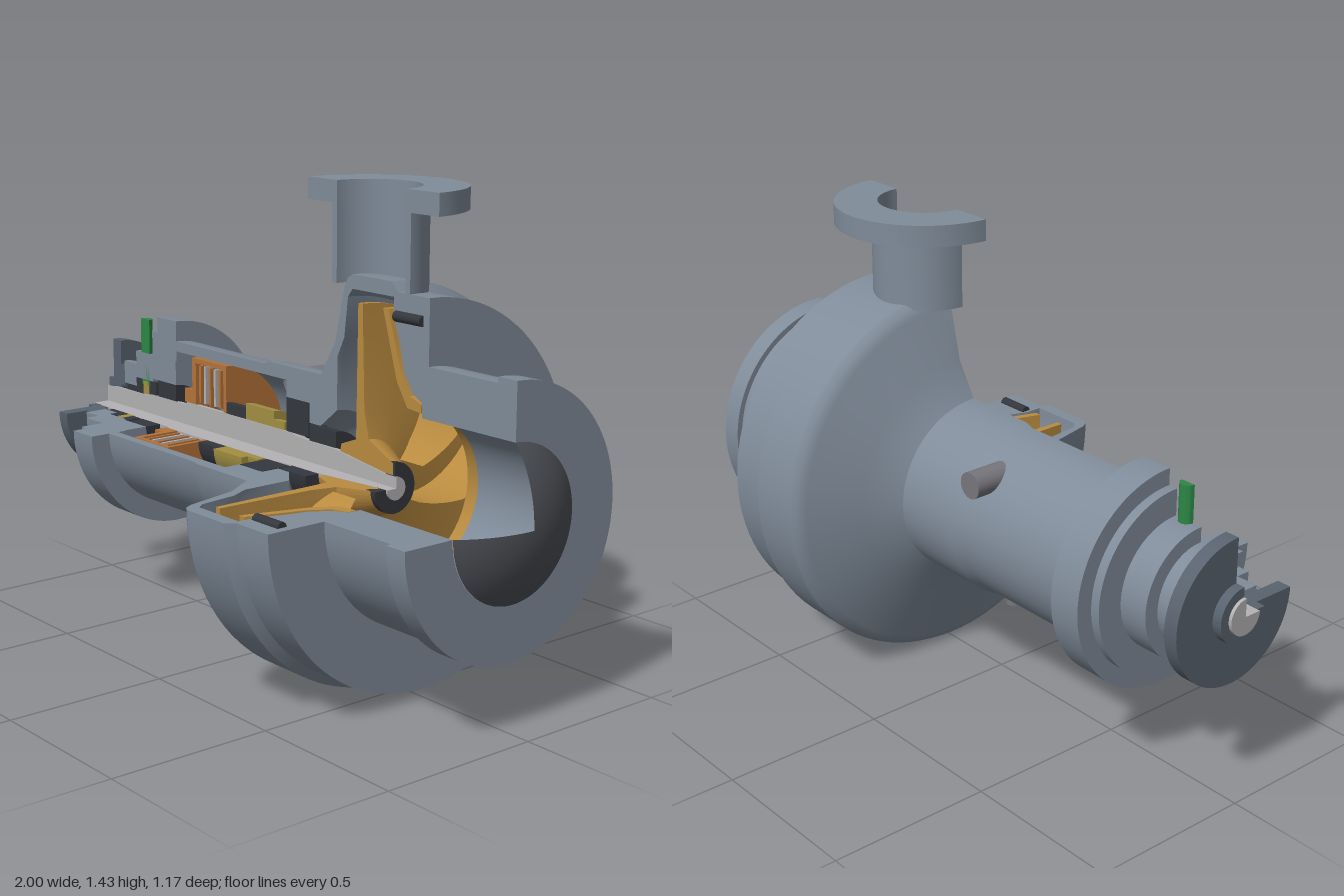
import * as THREE from 'three';
import { mergeGeometries, toCreasedNormals } from 'three/addons/utils/BufferGeometryUtils.js';

const AXIS = 0.587;
const SWEEP = Math.PI * 1.5;

const mat = (color, side = THREE.FrontSide) =>
  new THREE.MeshStandardMaterial({ color, side, roughness: 0.7 });
const M = {
  casing: mat(0x808c9a), slate: mat(0x59636f), steel: mat(0xb4b2b4), dark: mat(0x34373d),
  gold: mat(0xb98b40), vane: mat(0xb98b40, THREE.DoubleSide), bronze: mat(0xb4733a),
  brass: mat(0xa39042), green: mat(0x2c8746), pin: mat(0x77767d),
  dome: mat(0x4d5056, THREE.DoubleSide),
};

// Closed lathe surface; pts are [axial, radius] pairs
function ringSurface(pts, start, length, segments) {
  const p = pts.map(([a, r]) => new THREE.Vector2(r, a));
  if (THREE.ShapeUtils.area(p) < 0) p.reverse();
  p.push(p[0].clone());
  return toCreasedNormals(new THREE.LatheGeometry(p, segments, start, length), 0.5);
}
const face = (pts) =>
  new THREE.ShapeGeometry(new THREE.Shape(pts.map(([x, y]) => new THREE.Vector2(x, y)))).toNonIndexed();

// Three-quarter solid of revolution about the x axis, with both cut faces filled
function cutRing(pts) {
  const body = ringSurface(pts, 0, SWEEP, 72).rotateZ(-Math.PI / 2);
  const upright = face(pts);
  const level = face(pts.map(([a, r]) => [a, -r])).rotateX(-Math.PI / 2);
  return mergeGeometries([body, upright, level]);
}

// Half solid of revolution about the y axis, cut at z = 0
function cutHalf(pts) {
  const body = ringSurface(pts, Math.PI / 2, Math.PI, 40);
  const sides = [1, -1].map((s) => face(pts.map(([a, r]) => [s * r, a])));
  return mergeGeometries([body, ...sides]);
}

const box = (x0, x1, r0, r1) => [[x0, r0], [x1, r0], [x1, r1], [x0, r1]];

// Curved vane between back plate and shroud
function vaneGeometry(angle) {
  const shroud = [[0.13, 0.44], [0.25, 0.5], [0.3, 0.475], [0.36, 0.45], [0.42, 0.43], [0.5, 0.408]];
  const pos = [], idx = [];
  const n = 20;
  for (let i = 0; i <= n; i++) {
    const r = 0.13 + 0.37 * i / n;
    let k = 1;
    while (k < shroud.length - 1 && shroud[k][0] < r) k++;
    const [r0, x0] = shroud[k - 1], [r1, x1] = shroud[k];
    const top = x0 + (x1 - x0) * (r - r0) / (r1 - r0);
    const t = angle + 0.85 * i / n;
    for (const x of [0.31, top]) pos.push(x, r * Math.cos(t), r * Math.sin(t));
    if (i < n) idx.push(2 * i, 2 * i + 1, 2 * i + 2, 2 * i + 1, 2 * i + 3, 2 * i + 2);
  }
  const g = new THREE.BufferGeometry();
  g.setAttribute('position', new THREE.Float32BufferAttribute(pos, 3));
  g.setIndex(idx);
  g.computeVertexNormals();
  return g;
}

export function createModel() {
  const model = new THREE.Group();
  model.name = 'cutawayPump';
  const rotor = new THREE.Group();
  rotor.name = 'axialParts';
  rotor.position.y = AXIS;
  model.add(rotor);
  const add = (name, geometry, material, parent = rotor) => {
    const mesh = new THREE.Mesh(geometry, material);
    mesh.name = name;
    parent.add(mesh);
    return mesh;
  };
  const ring = (name, pts, material) => add(name, cutRing(pts), material);

  // Bearing frame and back half of the volute
  ring('bearingFrameAndVolute', [
    [-0.7, 0.33], [-0.595, 0.33], [-0.595, 0.265], [-0.14, 0.265], [-0.11, 0.275], [0.13, 0.275],
    [0.195, 0.38], [0.235, 0.55], [0.25, 0.575], [0.27, 0.587], [0.435, 0.587], [0.46, 0.56], [0.46, 0.545],
    [0.27, 0.545], [0.25, 0.52], [0.235, 0.4], [0.205, 0.34], [0.205, 0.18], [0.13, 0.12], [0.08, 0.12],
    [0.08, 0.18], [-0.03, 0.18], [-0.03, 0.232], [-0.595, 0.232], [-0.595, 0.2], [-0.7, 0.2]], M.casing);
  // Front cover with suction nozzle
  ring('suctionCover', [
    [0.46, 0.56], [0.59, 0.56], [0.59, 0.37], [0.855, 0.37], [0.855, 0.387], [0.925, 0.387], [0.925, 0.222],
    [0.565, 0.222], [0.565, 0.265], [0.525, 0.285], [0.49, 0.34], [0.47, 0.42], [0.445, 0.49], [0.445, 0.545], [0.46, 0.545]],
    M.casing);
  // Domed suction end
  const arc = [];
  for (let i = 0; i <= 12; i++) {
    const t = Math.asin(0.222 / 0.375) * (1 - i / 12);
    arc.push(new THREE.Vector2(0.375 * Math.sin(t), 0.625 + 0.375 * Math.cos(t)));
  }
  add('suctionDome', new THREE.LatheGeometry(arc, 64, 0, SWEEP).rotateZ(-Math.PI / 2), M.dome);

  // End covers and coupling disc
  ring('endCover', [[-0.73, 0.12], [-0.6, 0.12], [-0.6, 0.2], [-0.7, 0.2], [-0.7, 0.28], [-0.73, 0.28]], M.casing);
  ring('outerCollar', box(-0.825, -0.73, 0.11, 0.2), M.casing);
  ring('glandCollar', box(-0.895, -0.825, 0.08, 0.155), M.casing);
  ring('glandNeck', box(-0.915, -0.895, 0.07, 0.14), M.slate);
  ring('couplingDisc', box(-0.96, -0.915, 0.06, 0.22), M.slate);
  ring('couplingHub', box(-0.99, -0.96, 0.055, 0.085), M.slate);

  // Shaft
  ring('shaft', [
    [-1, 0], [-1, 0.055], [-0.75, 0.06], [-0.74, 0.066], [-0.55, 0.066], [-0.54, 0.074], [0, 0.074],
    [0.01, 0.068], [0.2, 0.062], [0.42, 0.034], [0.465, 0.034], [0.465, 0]], M.steel);

  // Seals and bearings
  const seals = [
    [-0.88, -0.83, 0.06, 0.08], [-0.83, -0.79, 0.06, 0.11], [-0.75, -0.71, 0.066, 0.11], [-0.7, -0.6, 0.066, 0.12],
    [-0.33, -0.23, 0.075, 0.11], [-0.03, 0.075, 0.075, 0.18], [0.08, 0.2, 0.066, 0.115]];
  seals.forEach((s, i) => ring('seal' + (i + 1), box(...s), M.dark));
  ring('oilRing', box(-0.785, -0.755, 0.062, 0.105), M.brass);
  ring('bearingSleeve', [[-0.23, 0.075], [-0.04, 0.075], [-0.04, 0.1], [-0.09, 0.1], [-0.09, 0.125], [-0.23, 0.125]], M.brass);

  // Bronze bearing pack with fins
  ring('bearingPack', [
    [-0.51, 0.225], [-0.33, 0.225], [-0.33, 0.075], [-0.345, 0.075], [-0.345, 0.21], [-0.49, 0.21],
    [-0.49, 0.075], [-0.55, 0.075], [-0.55, 0.12], [-0.51, 0.12]], M.bronze);
  for (let i = 0; i < 5; i++) {
    const x = -0.473 + i * 0.026;
    ring('bearingFin', box(x, x + 0.01, 0.085, 0.205), i % 2 ? M.steel : M.bronze);
  }

  // Impeller: hub with back plate, shroud, vanes and nut
  ring('impellerHub', [
    [0.22, 0.062], [0.225, 0.085], [0.29, 0.11], [0.295, 0.508], [0.314, 0.508], [0.325, 0.2], [0.345, 0.12],
    [0.45, 0.07], [0.45, 0.036], [0.42, 0.036]], M.gold);
  ring('impellerShroud', [
    [0.4, 0.508], [0.422, 0.508], [0.45, 0.42], [0.475, 0.34], [0.515, 0.275], [0.562, 0.26],
    [0.562, 0.235], [0.505, 0.24], [0.46, 0.31], [0.43, 0.41]], M.gold);
  for (let i = 0; i < 5; i++) add('impellerVane', vaneGeometry(Math.PI * 0.53 + i * 0.84), M.vane);
  ring('impellerNut', box(0.42, 0.458, 0.034, 0.075), M.dark);

  // Cover bolts
  for (let i = 0; i < 10; i++) {
    const t = -i * SWEEP / 9;
    const bolt = add('coverBolt', new THREE.CylinderGeometry(0.016, 0.016, 0.11, 10).rotateZ(Math.PI / 2), M.dark);
    bolt.position.set(0.51, 0.493 * Math.cos(t), 0.493 * Math.sin(t));
  }

  // Discharge nozzle
  const nozzle = add('dischargeNozzle', cutHalf([
    [1.14, 0.145], [1.14, 0.165], [1.37, 0.165], [1.37, 0.275], [1.434, 0.275], [1.434, 0.145]]), M.casing, model);
  nozzle.position.x = 0.345;

  // Oil filler, side plug and drain
  const filler = add('oilFiller', cutHalf([[0.68, 0], [0.68, 0.024], [0.9, 0.024], [0.9, 0]]), M.green, model);
  filler.position.x = -0.77;
  const plug = add('sidePlug', new THREE.CylinderGeometry(0.04, 0.04, 0.13, 24).rotateX(Math.PI / 2), M.pin, model);
  plug.position.set(-0.185, 0.765, -0.21);
  const drain = add('drainPlug', new THREE.CylinderGeometry(0.03, 0.03, 0.1, 24), M.pin, model);
  drain.position.set(-0.065, 0.3, 0);

  return model;
}
